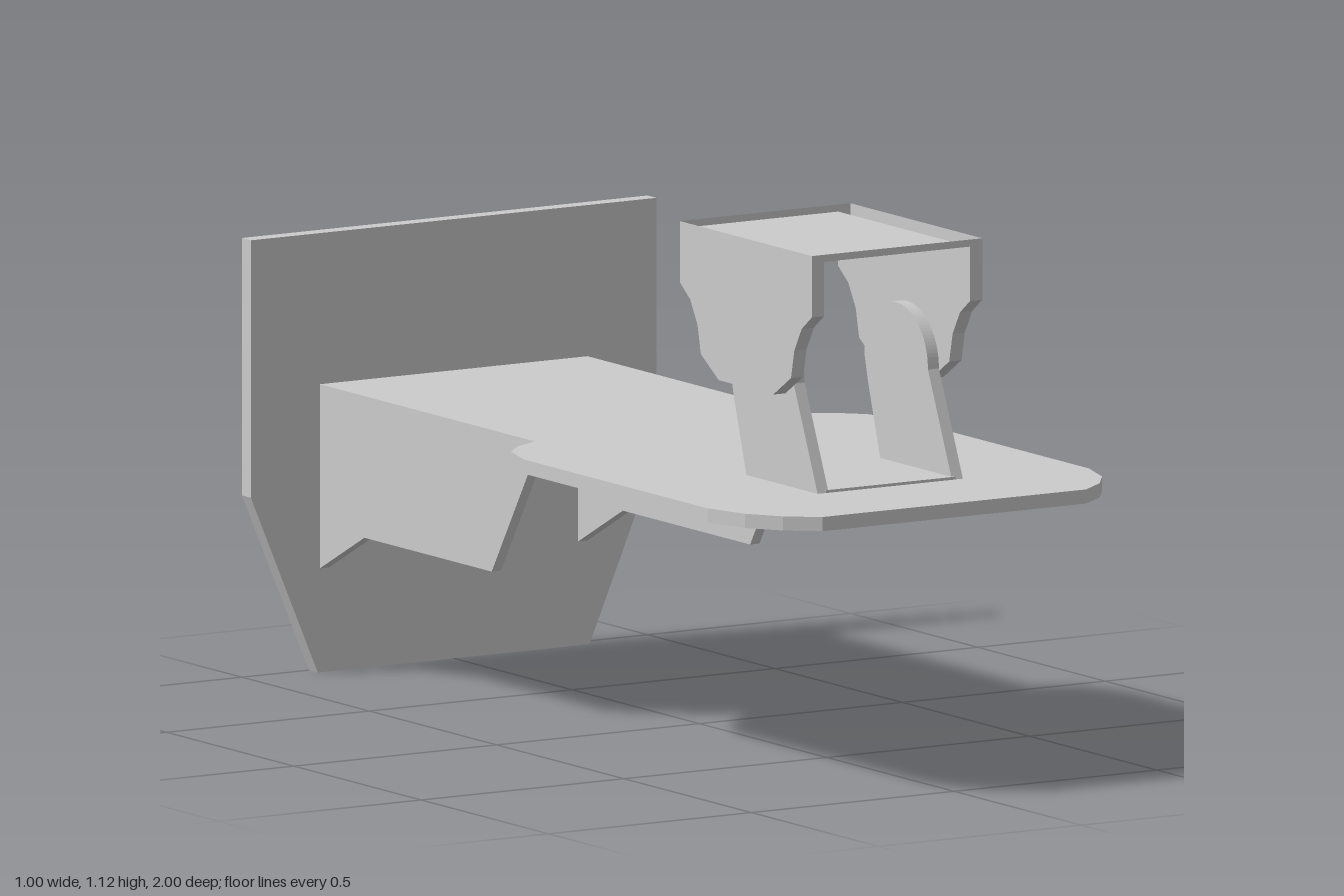
import * as THREE from 'three';

const material = new THREE.MeshStandardMaterial({ color: 0xcccccc, side: THREE.DoubleSide });

const shapeOf = (points) => new THREE.Shape(points.map(([a, b]) => new THREE.Vector2(a, b)));
const mirrorX = (half) => [...half, ...half.map(([x, y]) => [-x, y]).reverse()];
const sideShape = (zy) => shapeOf(zy.map(([z, y]) => [-z, y]));

function extrude(shape, depth) {
  return new THREE.ExtrudeGeometry(shape, { depth, bevelEnabled: false, curveSegments: 24 });
}

// Side profile extruded along x, starting at x0
const alongX = (shape, x0, width) => extrude(shape, width).rotateY(Math.PI / 2).translate(x0, 0, 0);

// Open strip following a (z, y) profile between two x positions
function profileStrip(profile, x0, x1) {
  const positions = [];
  for (let i = 0; i < profile.length - 1; i++) {
    const [za, ya] = profile[i], [zb, yb] = profile[i + 1];
    positions.push(x0, ya, za, x0, yb, zb, x1, yb, zb, x0, ya, za, x1, yb, zb, x1, ya, za);
  }
  const geometry = new THREE.BufferGeometry();
  geometry.setAttribute('position', new THREE.Float32BufferAttribute(positions, 3));
  geometry.computeVertexNormals();
  return geometry;
}

export function createModel() {
  const model = new THREE.Group();
  const add = (name, geometry, parent = model) => {
    const mesh = new THREE.Mesh(geometry, material);
    mesh.name = name;
    parent.add(mesh);
    return mesh;
  };

  // Flat deck: wide rounded front, narrow neck to the back plate
  const deck = mirrorX([
    [0.325, -1], [0.39, -0.95], [0.44, -0.88], [0.47, -0.78], [0.47, -0.06],
    [0.44, 0.04], [0.39, 0.09], [0.33, 0.12], [0.33, 0.965],
  ]);
  add('deck', extrude(shapeOf(deck), 0.03).rotateX(-Math.PI / 2).translate(0, 0.58, 0));

  // Side flanges under the neck
  const flange = sideShape([[-0.12, 0.58], [-0.29, 0.31], [-0.79, 0.31], [-0.965, 0.22], [-0.965, 0.58]]);
  add('leftFlange', alongX(flange, 0.307, 0.023));
  add('rightFlange', alongX(flange, -0.33, 0.023));

  // Back plate with a U-shaped slot matching the neck section
  const plate = shapeOf(mirrorX([[0.335, 0], [0.5, 0.385], [0.5, 0.93]]));
  plate.holes.push(shapeOf(mirrorX([[0.33, 0.61], [0.33, 0.22], [0.307, 0.22], [0.307, 0.585]])));
  add('backPlate', extrude(plate, 0.035).translate(0, 0, -1));

  // Round pad beneath the deck
  add('pad', new THREE.CylinderGeometry(0.13, 0.13, 0.035, 40).translate(0, 0.5625, 0.53));

  // Lower bracket: two leaning round-topped arms on a thin base
  const lower = new THREE.Group();
  lower.name = 'lowerBracket';
  model.add(lower);
  const arm = new THREE.Shape();
  arm.moveTo(-0.75, 0.608);
  arm.lineTo(-0.655, 0.83);
  arm.absarc(-0.53, 0.83, 0.125, Math.PI, 0, true);
  arm.lineTo(-0.42, 0.77);
  arm.lineTo(-0.47, 0.608);
  arm.closePath();
  add('leftArm', alongX(arm, 0.152, 0.027), lower);
  add('rightArm', alongX(arm, -0.179, 0.027), lower);
  add('bracketBase', new THREE.BoxGeometry(0.32, 0.008, 0.28).translate(0, 0.612, 0.61), lower);

  // Upper bracket: hollow cheeks open at the top, joined by a recessed panel
  const upper = new THREE.Group();
  upper.name = 'upperBracket';
  model.add(upper);
  const half = [[0.258, 0.99], [0.258 + 0.04, 0.96], [0.327, 0.91], [0.34, 0.85], [0.41, 0.805]];
  const edge = [[0.258, 1.12], ...half, ...half.map(([z, y]) => [1.034 - z, y]).reverse(), [0.776, 1.12]];
  const innerEdge = edge.map(([z, y]) => [z, Math.min(y, 1.105)]);
  for (const [name, s] of [['left', 1], ['right', -1]]) {
    add(name + 'CheekEdge', profileStrip(edge, s * 0.18, s * 0.21), upper);
    for (const [part, profile, x] of [['CheekOuter', edge, 0.21], ['CheekInner', innerEdge, 0.18]]) {
      const face = new THREE.ShapeGeometry(sideShape(profile)).rotateY(Math.PI / 2);
      add(name + part, face.translate(s * x, 0, 0), upper);
    }
  }
  const panel = [[0.258, 1.12], [0.258, 1.105], [0.776, 1.105], [0.776, 1.12]];
  add('topPanel', profileStrip(panel, -0.18, 0.18), upper);

  return model;
}
